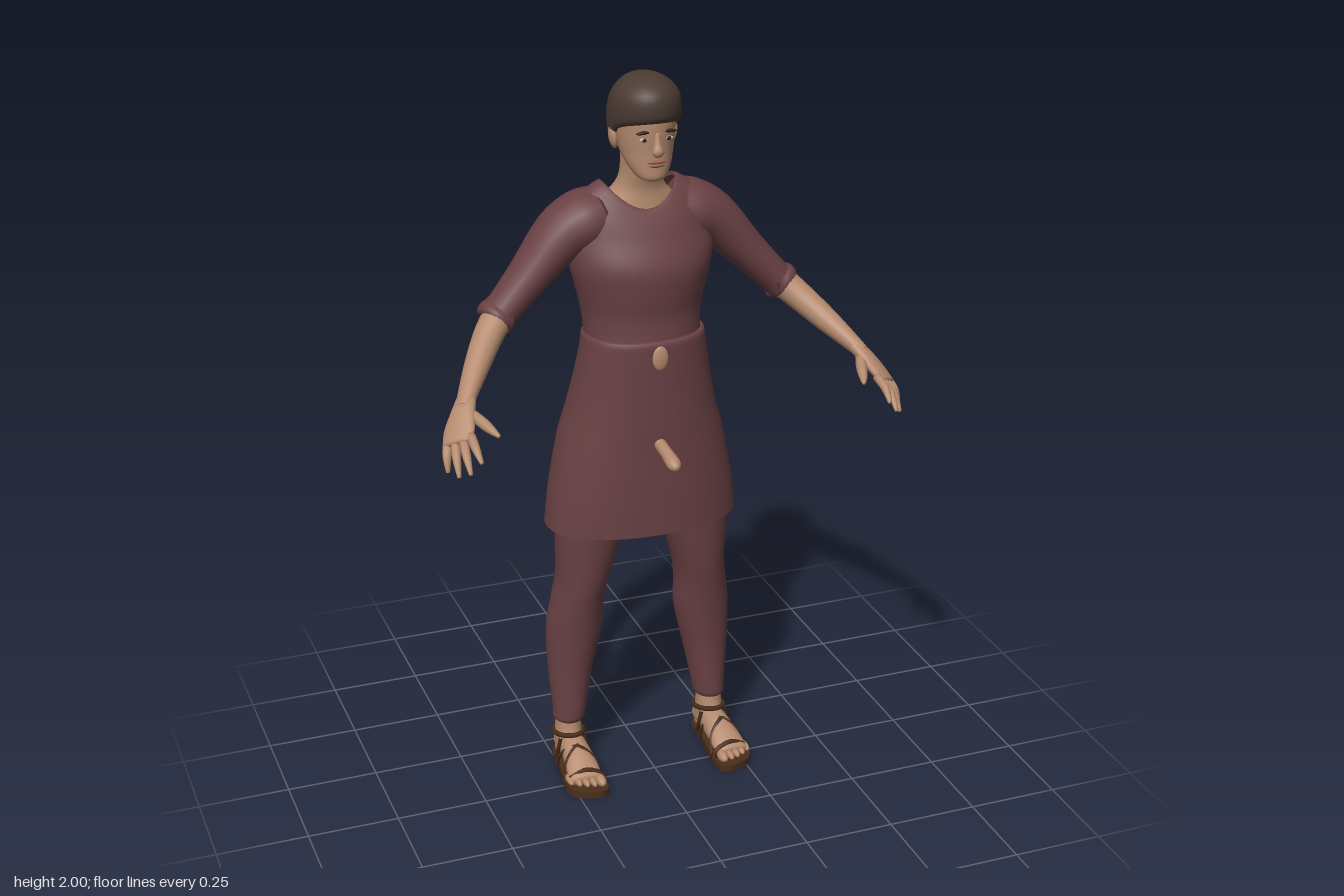
import * as THREE from 'three';

const mat = (name, color, side = THREE.FrontSide) => {
  const m = new THREE.MeshStandardMaterial({ color, side });
  m.name = name;
  return m;
};

// Component-wise Catmull-Rom refinement of a list of knots
function refine(knots, sub) {
  const out = [], n = knots.length, at = i => knots[Math.max(0, Math.min(n - 1, i))];
  for (let i = 0; i < n - 1; i++) {
    const [p, q, r, s] = [at(i - 1), at(i), at(i + 1), at(i + 2)];
    for (let k = 0; k < sub; k++) {
      const t = k / sub;
      out.push(q.map((v, j) => {
        const a = r[j] - p[j];
        const b = 2 * p[j] - 5 * v + 4 * r[j] - s[j];
        const c = 3 * (v - r[j]) + s[j] - p[j];
        return v + 0.5 * t * (a + t * (b + t * c));
      }));
    }
  }
  out.push(knots[n - 1]);
  return out;
}

// Skin closed rings of points into one smooth surface
function loft(rings, cap = true) {
  const pos = [], idx = [], m = rings[0].length, n = rings.length;
  rings.flat().forEach(p => pos.push(p.x, p.y, p.z));
  for (let i = 0; i < n - 1; i++) {
    for (let j = 0; j < m; j++) {
      const a = i * m + j, b = i * m + (j + 1) % m, c = a + m, d = b + m;
      idx.push(a, c, b, b, c, d);
    }
  }
  if (cap) [0, n - 1].forEach((r, end) => {
    const mid = new THREE.Vector3();
    rings[r].forEach(p => mid.addScaledVector(p, 1 / m));
    const k = pos.length / 3;
    pos.push(mid.x, mid.y, mid.z);
    for (let j = 0; j < m; j++) {
      const a = r * m + j, b = r * m + (j + 1) % m;
      idx.push(...(end ? [k, b, a] : [k, a, b]));
    }
  });
  const g = new THREE.BufferGeometry();
  g.setAttribute('position', new THREE.Float32BufferAttribute(pos, 3));
  g.setIndex(idx);
  g.computeVertexNormals();
  return g;
}

const around = (m, fn) => Array.from({ length: m }, (_, j) => {
  const a = j / m * Math.PI * 2;
  return fn(Math.cos(a), Math.sin(a));
});

// Stack of level ovals; knot: [y, half width, front z, back z, centre x, lift at the sides]
function stack(knots, cap = true, power = 1) {
  const pw = v => Math.sign(v) * Math.abs(v) ** power;
  const rows = refine(knots.map(k => [...k, 0, 0].slice(0, 6)), 4);
  return loft(rows.map(([y, rx, zf, zb, cx, lift]) => around(36, (c, s) => new THREE.Vector3(
    cx + rx * pw(c), y + lift * c * c, (zf + zb) / 2 + (zf - zb) / 2 * pw(s)))), cap);
}

// Limb along a path; knot: [x, y, z, radius across, radius along ref]
function limb(knots, ref = [0, 0, 1], m = 20) {
  const ks = refine(knots, 4), P = ks.map(k => new THREE.Vector3(k[0], k[1], k[2]));
  return loft(ks.map((k, i) => {
    const t = P[Math.min(i + 1, P.length - 1)].clone().sub(P[Math.max(i - 1, 0)]).normalize();
    const v = new THREE.Vector3(...ref).projectOnPlane(t).normalize();
    const u = new THREE.Vector3().crossVectors(t, v);
    return around(m, (c, s) => P[i].clone().addScaledVector(u, c * k[3]).addScaledVector(v, s * k[4]));
  }));
}

export function createModel() {
  const root = new THREE.Group();
  const cloth = mat('cloth', 0x6a4144, THREE.DoubleSide);
  const skin = mat('skin', 0xb58b6f);
  const hairMat = mat('hair', 0x4b3b33, THREE.DoubleSide);
  const leather = mat('leather', 0x4a2e1b);
  const lipMat = mat('lips', 0x94634f);
  const dark = mat('dark', 0x2b1e19);
  const white = mat('eyeWhite', 0xc9bdb0);

  const add = (name, geo, m) => {
    const mesh = new THREE.Mesh(geo, m);
    mesh.name = name;
    root.add(mesh);
    return mesh;
  };
  const ball = (name, m, p, r, rotZ = 0) => {
    const mesh = add(name, new THREE.SphereGeometry(1, 16, 12), m);
    mesh.position.set(...p);
    mesh.scale.set(...r);
    mesh.rotation.z = rotZ;
  };
  const strap = (name, pts, r = 0.006) => add(name, new THREE.TubeGeometry(
    new THREE.CatmullRomCurve3(pts.map(p => new THREE.Vector3(...p))), 24, r, 6), leather);

  // Tunic body with a scooped neckline, and the skirt hanging open below
  add('tunicBody', stack([[1.28, 0.158, 0.03, -0.22], [1.36, 0.163, 0.022, -0.235], [1.43, 0.178, 0.03, -0.245],
    [1.5, 0.195, 0.03, -0.247], [1.57, 0.2, -0.002, -0.243], [1.615, 0.175, -0.025, -0.232, 0, 0.045],
    [1.645, 0.108, -0.046, -0.212, 0, 0.065], [1.636, 0.1, -0.052, -0.205, 0, 0.065]], false), cloth);
  add('skirt', stack([[0.755, 0.27, 0.045, -0.28], [0.86, 0.258, 0.045, -0.28], [1.0, 0.23, 0.043, -0.278],
    [1.08, 0.207, 0.043, -0.27], [1.18, 0.185, 0.042, -0.243], [1.26, 0.171, 0.042, -0.226],
    [1.302, 0.165, 0.041, -0.224], [1.308, 0.155, 0.028, -0.215]], false, 0.9), cloth);

  // Neck and head
  add('neck', stack([[1.6, 0.11, -0.05, -0.215], [1.655, 0.1, -0.06, -0.205], [1.695, 0.068, -0.062, -0.175],
    [1.74, 0.055, -0.05, -0.158], [1.82, 0.056, -0.03, -0.16]]), skin);
  add('head', stack([[1.733, 0.02, 0, -0.035], [1.742, 0.038, 0.013, -0.06], [1.77, 0.057, 0.015, -0.11],
    [1.81, 0.07, 0.016, -0.155], [1.86, 0.077, 0.021, -0.175], [1.91, 0.079, 0.02, -0.18],
    [1.955, 0.065, -0.005, -0.16], [1.975, 0.03, -0.05, -0.11]]), skin);
  add('nose', limb([[0, 1.863, 0.014, 0.008, 0.008], [0, 1.835, 0.02, 0.01, 0.011],
    [0, 1.816, 0.024, 0.016, 0.014], [0, 1.806, 0.018, 0.01, 0.008]], [0, 0, 1], 12), skin);
  ball('upperLip', lipMat, [0, 1.788, 0.0155], [0.026, 0.005, 0.007]);
  ball('lowerLip', lipMat, [0, 1.779, 0.015], [0.021, 0.006, 0.007]);

  // Short hair: low at the nape, lifted over the forehead
  const hairRows = refine([[0, 0.9], [0.12, 0.98], [0.4, 1], [0.65, 0.92], [0.85, 0.68], [0.96, 0.38], [1, 0.04]], 3);
  add('hair', loft(hairRows.map(([t, r]) => around(32, (c, s) => {
    const low = s > 0 ? 1.845 + 0.045 * Math.sqrt(s) : 1.845 + 0.06 * s;
    return new THREE.Vector3(0.093 * r * c, low + (2 - low) * t, -0.08 + 0.116 * r * s);
  }))), hairMat);

  // Patch and short rod that show through the skirt front
  ball('bellyPatch', skin, [0, 1.265, 0.042], [0.022, 0.034, 0.008]);
  add('frontRod', limb([[0, 1.022, 0.02, 0.017, 0.017], [0, 1.014, 0.09, 0.017, 0.017],
    [0, 1.004, 0.145, 0.019, 0.018], [0, 1, 0.165, 0.006, 0.006]], [0, 1, 0], 12), skin);

  for (const s of [1, -1]) {
    const side = s > 0 ? 'left' : 'right';
    const flip = ks => ks.map(([x, ...rest]) => [s * x, ...rest]);

    // Face details and ears
    ball(side + 'EyeWhite', white, [s * 0.033, 1.847, 0.0115], [0.013, 0.0055, 0.004]);
    ball(side + 'Pupil', dark, [s * 0.033, 1.847, 0.0135], [0.006, 0.0055, 0.004]);
    ball(side + 'Brow', dark, [s * 0.034, 1.866, 0.0125], [0.021, 0.0045, 0.006], -s * 0.08);
    ball(side + 'Ear', skin, [s * 0.081, 1.835, -0.088], [0.011, 0.031, 0.019], -s * 0.15);

    // Sleeve with a rolled cuff
    add(side + 'Sleeve', limb(flip([[0.1, 1.625, -0.135, 0.07, 0.085], [0.15, 1.607, -0.135, 0.08, 0.095],
      [0.215, 1.572, -0.133, 0.07, 0.085], [0.305, 1.478, -0.12, 0.054, 0.066], [0.385, 1.395, -0.107, 0.046, 0.056],
      [0.395, 1.386, -0.105, 0.052, 0.06], [0.407, 1.375, -0.102, 0.05, 0.058], [0.412, 1.37, -0.1, 0.04, 0.046]])), cloth);

    // Forearm, palm, thumb and fingers
    add(side + 'Forearm', limb(flip([[0.37, 1.41, -0.11, 0.042, 0.045], [0.425, 1.36, -0.07, 0.039, 0.042],
      [0.485, 1.3, 0.005, 0.033, 0.034], [0.54, 1.243, 0.085, 0.022, 0.027], [0.55, 1.23, 0.1, 0.02, 0.027]])), skin);
    add(side + 'Palm', limb(flip([[0.535, 1.248, 0.078, 0.02, 0.026], [0.558, 1.22, 0.115, 0.019, 0.036],
      [0.578, 1.19, 0.15, 0.016, 0.045], [0.592, 1.168, 0.18, 0.011, 0.042]]), [s * 0.6, -0.3, -0.45]), skin);
    add(side + 'Thumb', limb(flip([[0.548, 1.225, 0.1, 0.014, 0.014], [0.524, 1.212, 0.16, 0.015, 0.015],
      [0.51, 1.203, 0.2, 0.012, 0.012], [0.498, 1.196, 0.232, 0.005, 0.005]]), [0, 1, 0], 10), skin);
    const tips = [[0.556, 1.148, 0.272], [0.582, 1.117, 0.262], [0.605, 1.102, 0.235], [0.622, 1.1, 0.192]];
    tips.forEach(([x, y, z], i) => {
      const k = i / 3, b = [0.558 + 0.05 * k, 1.188 - 0.026 * k, 0.185 - 0.04 * k];
      const mid = [(x + b[0]) / 2 + 0.003, (y + b[1]) / 2 + 0.006, (z + b[2]) / 2 + 0.004];
      add(side + 'Finger' + (i + 1), limb(flip([[...b, 0.012, 0.012], [...mid, 0.0115, 0.0115],
        [x, y, z, 0.005, 0.005]]), [1, 0, 0], 10), skin);
    });

    // Trouser leg gathered at the ankle
    add(side + 'TrouserLeg', stack([[0.14, 0.036, -0.09, -0.17, 0.213], [0.15, 0.044, -0.078, -0.178, 0.213],
      [0.18, 0.047, -0.075, -0.183, 0.21], [0.3, 0.063, -0.073, -0.205, 0.203], [0.43, 0.078, -0.06, -0.216, 0.19],
      [0.52, 0.073, -0.045, -0.21, 0.182], [0.6, 0.074, -0.03, -0.206, 0.17], [0.75, 0.098, -0.014, -0.195, 0.15],
      [0.92, 0.115, 0, -0.22, 0.122], [1.08, 0.1, 0, -0.22, 0.1]].map(k => [...k.slice(0, 4), s * k[4]])), cloth);

    // Foot, ankle and toes
    add(side + 'Ankle', stack([[0.03, 0.034, -0.1, -0.188], [0.08, 0.037, -0.075, -0.185],
      [0.12, 0.036, -0.085, -0.175], [0.17, 0.036, -0.09, -0.17]].map(k => [...k, s * 0.214])), skin);
    add(side + 'Foot', limb(flip([[0.213, 0.045, -0.192, 0.02, 0.02], [0.213, 0.052, -0.165, 0.034, 0.034],
      [0.213, 0.062, -0.1, 0.037, 0.044], [0.215, 0.056, -0.04, 0.042, 0.038], [0.218, 0.042, 0.015, 0.047, 0.025],
      [0.22, 0.033, 0.05, 0.045, 0.014]]), [0, 1, 0]), skin);
    for (let i = 0; i < 5; i++) {
      const w = i ? 0.0095 : 0.014;
      ball(side + 'Toe' + (i + 1), skin, [s * (0.183 + i * 0.0195 + (i ? 0.003 : 0)), 0.033, 0.06 - 0.002 * i * i],
        [w, w + 0.001, 0.027]);
    }

    // Sandal sole and straps
    const rim = [[0.178, -0.17], [0.213, -0.202], [0.25, -0.17], [0.258, -0.08], [0.275, 0.02], [0.262, 0.068],
      [0.225, 0.09], [0.185, 0.096], [0.164, 0.07], [0.168, -0.02], [0.178, -0.1], [0.178, -0.17]];
    const curve = new THREE.SplineCurve(rim.map(([x, z]) => new THREE.Vector2(s * x, z)));
    const outline = new THREE.Shape(curve.getPoints(44).slice(0, -1));
    const sole = new THREE.ExtrudeGeometry(outline, { depth: 0.02, bevelEnabled: false });
    add(side + 'SandalSole', sole.rotateX(Math.PI / 2).translate(0, 0.02, 0), leather);
    const arch = (z0, z1, h, w) => flip([[0.217 - w, 0.015, z0], [0.217 - w * 0.85, 0.015 + h * 0.6, z0 * 0.8 + z1 * 0.2],
      [0.217, 0.018 + h, (z0 + z1) / 2], [0.217 + w * 0.85, 0.015 + h * 0.6, z0 * 0.2 + z1 * 0.8], [0.217 + w, 0.015, z1]]);
    strap(side + 'ToeStrap', arch(0.04, 0.025, 0.038, 0.052), 0.008);
    strap(side + 'InstepStrapA', arch(0.01, -0.09, 0.075, 0.047));
    strap(side + 'InstepStrapB', arch(-0.09, 0, 0.075, 0.047));
    const loop = around(12, (c, n) => [s * (0.214 + 0.041 * c), 0.098 + 0.012 * n, -0.13 + 0.057 * n]);
    strap(side + 'AnkleStrap', [...loop, loop[0]], 0.007);
    for (const e of [-1, 1]) {
      strap(side + (e < 0 ? 'Inner' : 'Outer') + 'HeelStrap', flip([[0.214 + e * 0.038, 0.015, -0.12],
        [0.214 + e * 0.041, 0.055, -0.1], [0.214 + e * 0.036, 0.1, -0.09]]));
    }
  }
  return root;
}
